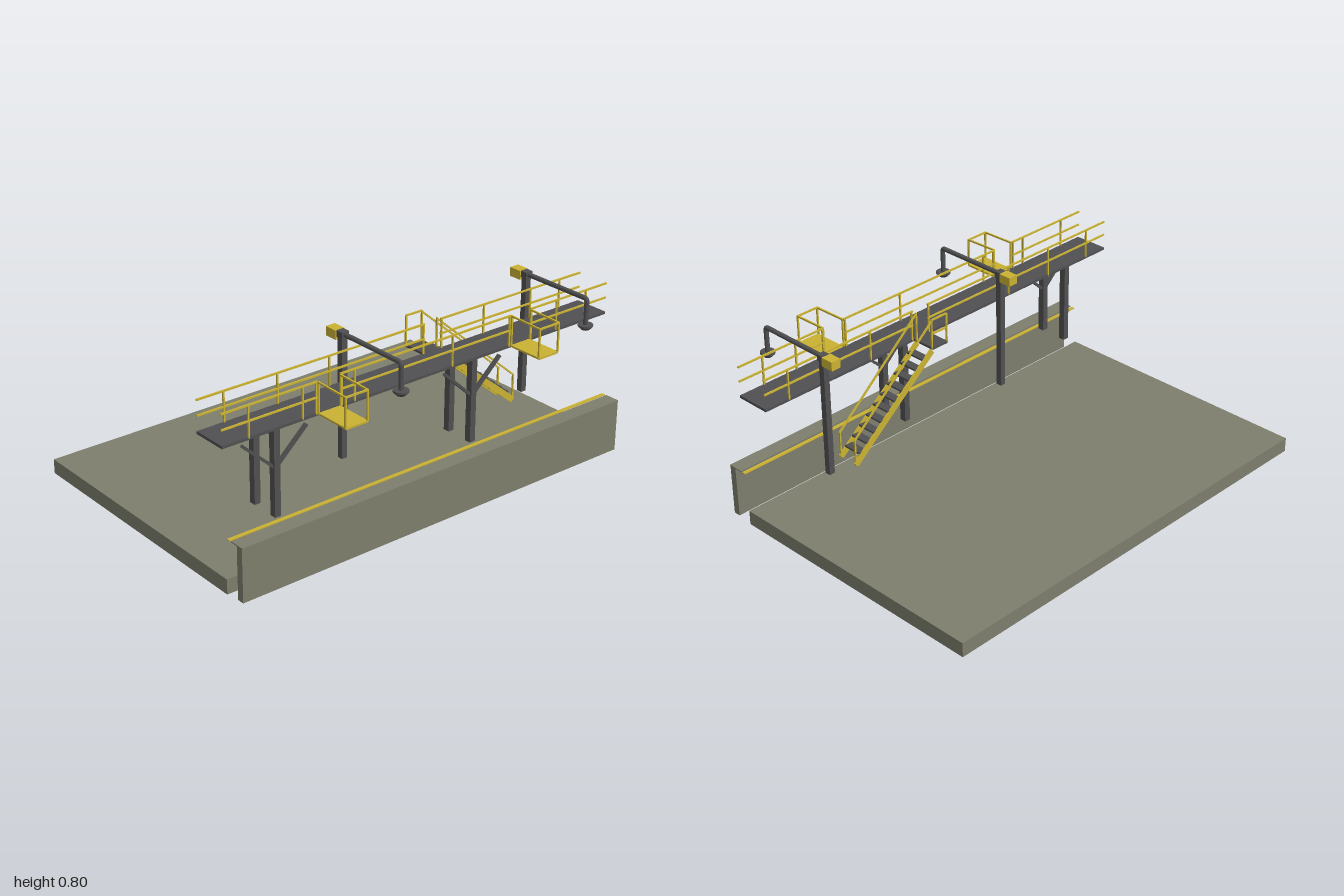
import * as THREE from 'three';

const mat = (name, color) => {
  const m = new THREE.MeshStandardMaterial({ color });
  m.name = name;
  return m;
};

export function createModel() {
  const concrete = mat('concrete', 0x7d7e6c);
  const steel = mat('dark steel', 0x505052);
  const yellow = mat('safety yellow', 0xcab232);
  const model = new THREE.Group();
  model.name = 'loadingGantry';

  const group = (name) => {
    const g = new THREE.Group();
    g.name = name;
    model.add(g);
    return g;
  };
  const add = (parent, name, geo, material, x, y, z) => {
    const m = new THREE.Mesh(geo, material);
    m.name = name;
    m.position.set(x, y, z);
    parent.add(m);
    return m;
  };
  // Box given by its limits on each axis
  const box = (parent, name, material, x0, x1, y0, y1, z0, z1) =>
    add(parent, name, new THREE.BoxGeometry(x1 - x0, y1 - y0, z1 - z0), material,
      (x0 + x1) / 2, (y0 + y1) / 2, (z0 + z1) / 2);
  // Rectangular bar between two points, w across and h deep
  const bar = (parent, name, material, a, b, w = 0.008, h = w) => {
    const p = new THREE.Vector3(...a), q = new THREE.Vector3(...b);
    const mid = p.clone().add(q).multiplyScalar(0.5);
    const m = add(parent, name, new THREE.BoxGeometry(w, h, p.distanceTo(q)), material, mid.x, mid.y, mid.z);
    m.lookAt(q);
    return m;
  };
  const post = (parent, x, z, y0 = 0.62, y1 = 0.755) =>
    box(parent, 'railPost', yellow, x - 0.0035, x + 0.0035, y0, y1, z - 0.0035, z + 0.0035);

  // Ground slab, edge wall, wall cap and marking strip
  const ground = group('ground');
  box(ground, 'slab', concrete, -0.71, 0.546, 0, 0.066, -1, 1);
  box(ground, 'edgeWall', concrete, 0.616, 0.648, 0.01, 0.245, -1, 1);
  box(ground, 'wallCap', concrete, 0.58, 0.65, 0.243, 0.247, -1, 1);
  box(ground, 'markingStrip', yellow, 0.554, 0.571, 0.242, 0.246, -1, 1);

  // Walkway deck and stair landing
  const walkway = group('walkway');
  box(walkway, 'deck', steel, 0.38, 0.54, 0.614, 0.626, -1, 1);
  box(walkway, 'landing', steel, 0.265, 0.38, 0.616, 0.626, -0.2, -0.115);

  // Guard rails, broken at the landing and at the drop platforms
  const rails = group('guardRails');
  const railRun = (x, z0, z1, posts) => {
    for (const y of [0.69, 0.755]) bar(rails, 'rail', yellow, [x, y, z0], [x, y, z1], 0.007);
    for (const z of posts) post(rails, x, z);
  };
  railRun(0.383, -0.115, 1, [-0.11, 0.374, 0.626, 0.877]);
  railRun(0.383, -1, -0.2, [-0.207, -0.44, -0.706, -0.877]);
  railRun(0.538, 0.555, 1, [0.561, 0.626, 0.877]);
  railRun(0.538, -0.445, 0.445, [-0.438, -0.128, 0.374, 0.437]);
  railRun(0.538, -1, -0.555, [-0.561, -0.706, -0.877]);
  railRun(0.27, -0.2, -0.115, [-0.2, -0.115]);

  // Drop platforms with a rail on three sides
  for (const z of [-0.5, 0.5]) {
    const p = group('dropPlatform');
    const a = z - 0.053, b = z + 0.053, y = 0.749;
    box(p, 'platformFloor', yellow, 0.54, 0.707, 0.616, 0.624, a, b);
    for (const s of [a, b]) {
      post(p, 0.703, s, 0.62, 0.752);
      post(p, 0.543, s);
      bar(p, 'sideRail', yellow, [0.54, 0.753, s], [0.703, y, s], 0.007);
    }
    bar(p, 'endRail', yellow, [0.703, y, a], [0.703, y, b], 0.007);
  }

  // Trestles: two legs, a cross beam and a pair of braces
  for (const z of [-0.25, 0.75]) {
    const t = group('trestle');
    for (const x of [0.395, 0.525])
      box(t, 'leg', steel, x - 0.015, x + 0.015, 0.245, 0.595, z - 0.014, z + 0.014);
    box(t, 'crossBeam', steel, 0.38, 0.54, 0.59, 0.615, z - 0.014, z + 0.014);
    for (const s of [-1, 1])
      bar(t, 'brace', steel, [0.525, 0.45, z], [0.525, 0.588, z + s * 0.15], 0.016, 0.012);
  }

  // Loading arms: mast, counterweight, boom, drop pipe and hood
  for (const z of [-0.75, 0.25]) {
    const a = group('loadingArm');
    box(a, 'mast', steel, 0.297, 0.324, 0.245, 0.78, z - 0.0135, z + 0.0135);
    box(a, 'mastHead', steel, 0.293, 0.328, 0.775, 0.803, z - 0.018, z + 0.018);
    box(a, 'counterweight', yellow, 0.235, 0.295, 0.763, 0.803, z - 0.023, z + 0.023);
    const pipe = new THREE.CurvePath();
    const v = (x, y) => new THREE.Vector3(x, y, z);
    pipe.add(new THREE.LineCurve3(v(0.32, 0.79), v(0.652, 0.79)));
    pipe.add(new THREE.QuadraticBezierCurve3(v(0.652, 0.79), v(0.665, 0.79), v(0.665, 0.777)));
    pipe.add(new THREE.LineCurve3(v(0.665, 0.777), v(0.665, 0.672)));
    add(a, 'boomPipe', new THREE.TubeGeometry(pipe, 80, 0.0105, 12), steel, 0, 0, 0);
    const hood = [[0, 0.655], [0.018, 0.655], [0.032, 0.669], [0.032, 0.677], [0, 0.677]];
    add(a, 'hood', new THREE.LatheGeometry(hood.map(([r, y]) => new THREE.Vector2(r, y)), 20)
      .toNonIndexed(), steel, 0.665, 0, z).geometry.computeVertexNormals();
  }

  // Stair: stringers, treads and handrails
  const stair = group('stair');
  const top = [0.612, -0.2], foot = [0.252, -0.645];
  for (const x of [0.27, 0.362]) {
    bar(stair, 'stringer', yellow, [x, ...top], [x, ...foot], 0.008, 0.028);
    bar(stair, 'handrail', yellow, [x, 0.75, -0.2], [x, 0.37, -0.645], 0.007);
    post(stair, x, -0.645, 0.25, 0.372);
    post(stair, x, -0.2);
  }
  for (let i = 1; i <= 10; i++) {
    const t = i / 11;
    const y = 0.62 + (foot[0] - top[0]) * t + 0.002, z = top[1] + (foot[1] - top[1]) * t;
    box(stair, 'tread', steel, 0.272, 0.36, y - 0.004, y + 0.004, z - 0.019, z + 0.019);
  }
  return model;
}
